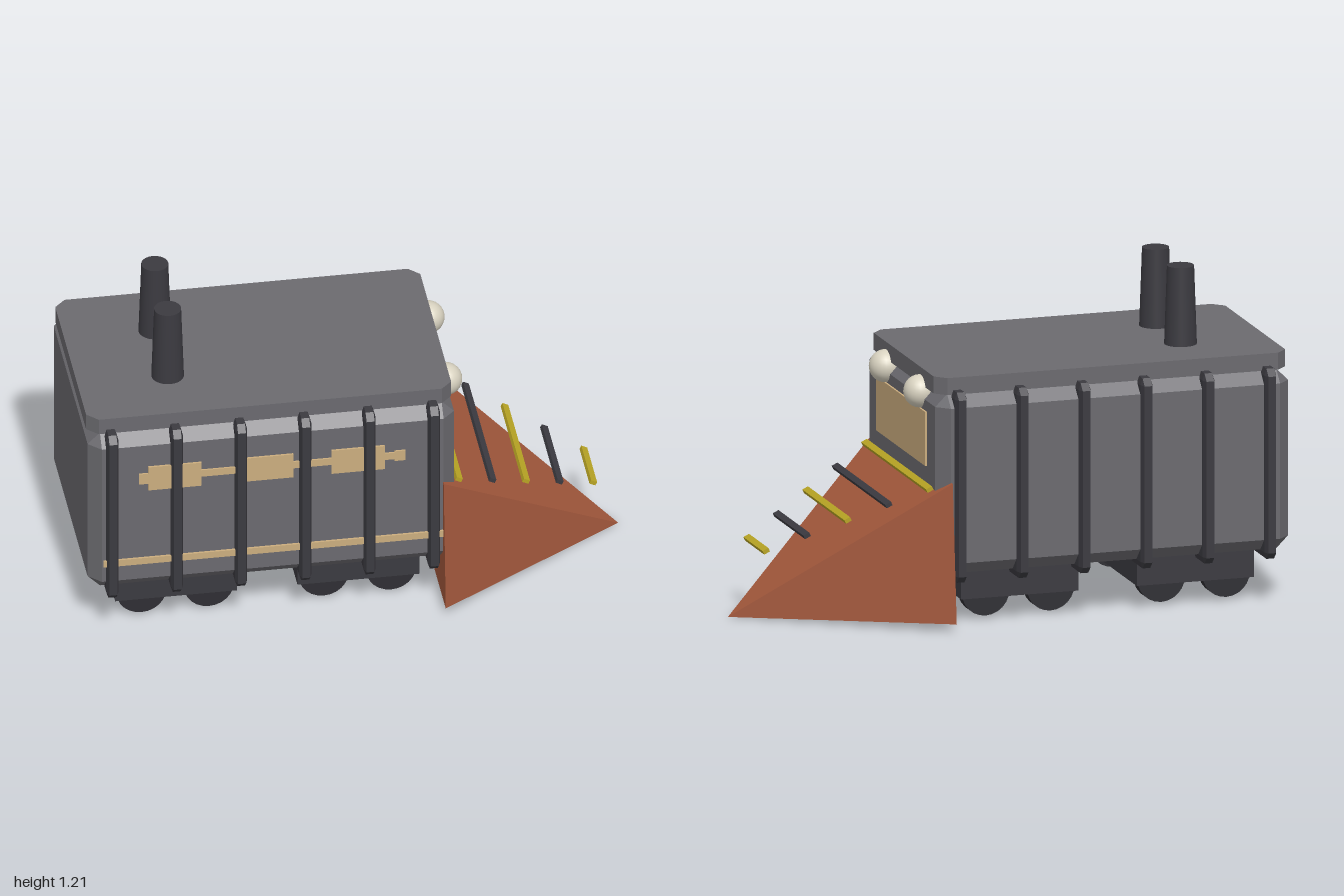
import * as THREE from 'three';
import { ConvexGeometry } from 'three/addons/geometries/ConvexGeometry.js';

const paint = (name, color) => {
  const m = new THREE.MeshStandardMaterial({ color });
  m.name = name;
  return m;
};

// Box with every edge cut; cx, cy, cz are the cuts along each axis
function chamferBox(w, h, d, cx, cy, cz) {
  const pts = [];
  const X = w / 2, Y = h / 2, Z = d / 2;
  for (const a of [-1, 1]) for (const b of [-1, 1]) for (const c of [-1, 1]) {
    pts.push(new THREE.Vector3(a * X, b * (Y - cy), c * (Z - cz)));
    pts.push(new THREE.Vector3(a * (X - cx), b * Y, c * (Z - cz)));
    pts.push(new THREE.Vector3(a * (X - cx), b * (Y - cy), c * Z));
  }
  return new ConvexGeometry(pts);
}

export function createModel() {
  const group = new THREE.Group();
  group.name = 'ploughEngine';
  const grey = paint('bodyGrey', 0x6b6a6f);
  const dark = paint('darkIron', 0x3b3a40);
  const wheelMat = paint('wheelBlack', 0x2f2e33);
  const rust = paint('rustRed', 0xa3583c);
  const yellow = paint('warningYellow', 0xb8a424);
  const tan = paint('tan', 0xcbad7e);
  const ivory = paint('lampIvory', 0xd8d2c0);

  const add = (name, geometry, material, x, y, z) => {
    const mesh = new THREE.Mesh(geometry, material);
    mesh.name = name;
    mesh.position.set(x, y, z);
    group.add(mesh);
    return mesh;
  };
  // Box given by its x and y ranges
  const plate = (name, x0, x1, y0, y1, z, depth, material) =>
    add(name, new THREE.BoxGeometry(x1 - x0, y1 - y0, depth), material, (x0 + x1) / 2, (y0 + y1) / 2, z);

  // Body
  add('body', chamferBox(1.335, 0.665, 0.854, 0.045, 0.045, 0.045), grey, -0.3325, 0.5325, 0);

  // Roof slab with cut corners
  const rx = 0.665, rz = 0.388, cut = 0.04;
  const roofShape = new THREE.Shape([
    [-rx, -rz + cut], [-rx + cut, -rz], [rx - cut, -rz], [rx, -rz + cut],
    [rx, rz - cut], [rx - cut, rz], [-rx + cut, rz], [-rx, rz - cut],
  ].map(([x, y]) => new THREE.Vector2(x, y)));
  const roofGeo = new THREE.ExtrudeGeometry(roofShape, { depth: 0.063, bevelEnabled: false });
  roofGeo.rotateX(-Math.PI / 2);
  add('roof', roofGeo, grey, -0.335, 0.862, 0);

  // Ribs wrapped around the body
  const ribGeo = chamferBox(0.045, 0.704, 0.908, 0.008, 0.025, 0.025);
  for (let i = 0; i < 6; i++) add('rib', ribGeo, dark, -0.917 + i * 0.2342, 0.527, 0);

  // Chimneys and headlamps
  const chimneyGeo = new THREE.CylinderGeometry(0.049, 0.06, 0.315, 24);
  const lampGeo = new THREE.SphereGeometry(0.06, 24, 16);
  for (const s of [-1, 1]) {
    add('chimney', chimneyGeo, dark, -0.67, 1.0575, s * 0.145);
    add('headlamp', lampGeo, ivory, 0.334, 0.838, s * 0.2);
  }

  // Windscreen
  add('windscreen', new THREE.BoxGeometry(0.008, 0.2, 0.574), tan, 0.338, 0.68, 0);

  // Painted band and emblem on the front side
  plate('sideStripe', -0.95, 0.29, 0.312, 0.338, 0.431, 0.009, tan);
  plate('emblemBar', -0.8, 0.13, 0.668, 0.696, 0.43, 0.007, tan);
  for (const x of [-0.69, -0.355, -0.022])
    plate('emblemBlock', x - 0.097, x + 0.097, 0.63, 0.73, 0.431, 0.008, tan);
  plate('emblemEnd', -0.82, -0.785, 0.658, 0.702, 0.43, 0.007, tan);
  plate('emblemEnd', 0.11, 0.15, 0.66, 0.702, 0.43, 0.007, tan);

  // Bogies with their wheels
  const wheelGeo = new THREE.CylinderGeometry(0.09, 0.09, 0.05, 24);
  wheelGeo.rotateX(Math.PI / 2);
  for (const x of [-0.668, -0.004]) {
    plate('bogie', x - 0.222, x + 0.222, 0.085, 0.21, 0, 0.65, dark);
    for (const dx of [-0.123, 0.123])
      for (const s of [-1, 1]) add('wheel', wheelGeo, wheelMat, x + dx, 0.104, s * 0.28);
  }

  // Plough wedge
  add('plough', new ConvexGeometry([
    new THREE.Vector3(0.995, 0.004, 0),
    ...[-1, 1].flatMap((s) => [
      new THREE.Vector3(0.288, 0.546, s * 0.442),
      new THREE.Vector3(0.288, 0.036, s * 0.488),
    ]),
  ]), rust, 0, 0, 0);

  // Alternating warning bars above the plough
  for (let i = 0; i < 5; i++) {
    const bar = add('warningBar', new THREE.BoxGeometry(0.024, 0.015, 0.755 - i * 0.1325),
      i % 2 ? dark : yellow, 0.354 + i * 0.133, 0.515 - i * 0.0625, 0);
    bar.rotation.z = -0.45;
  }
  return group;
}
